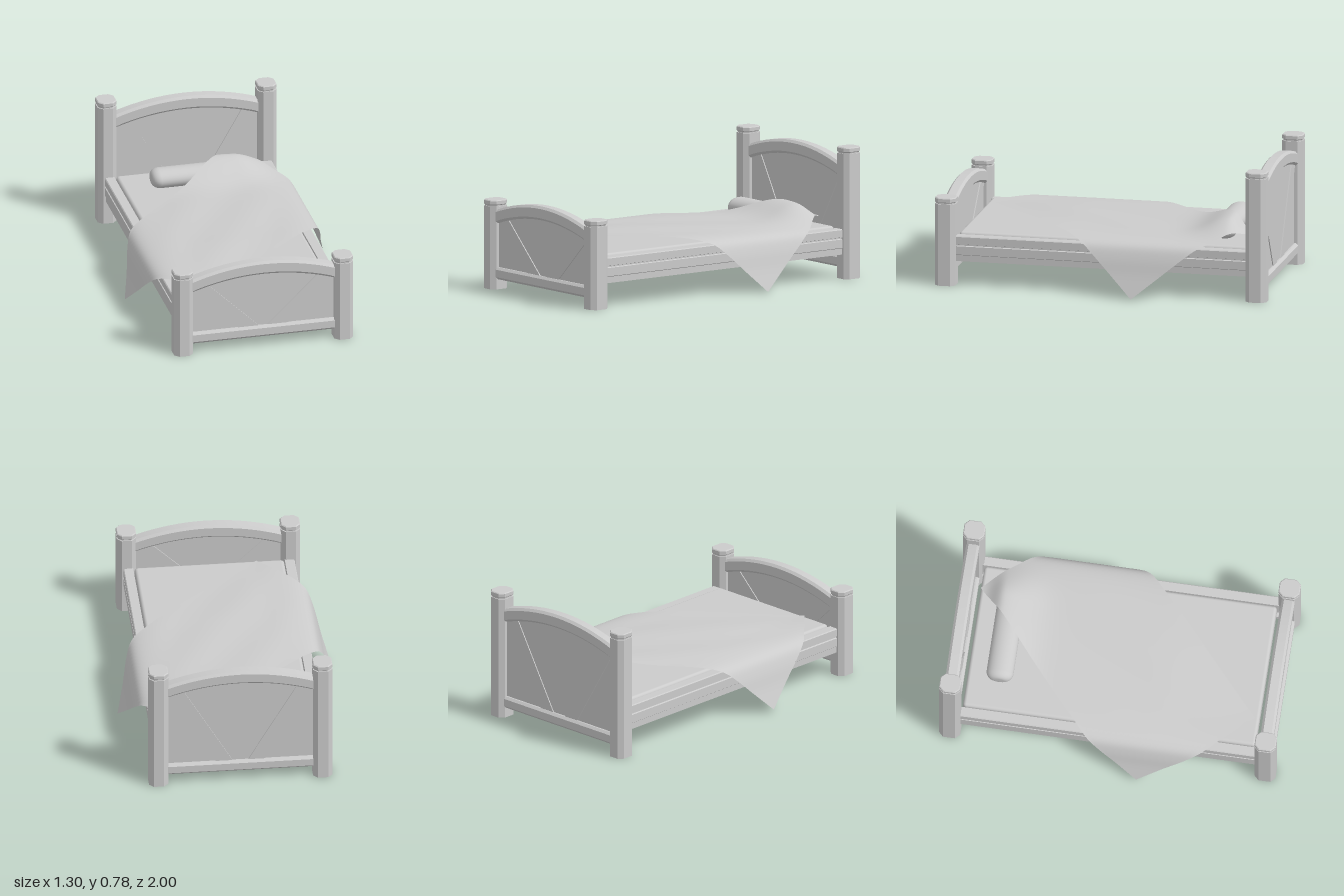
import * as THREE from 'three';
import { RoundedBoxGeometry } from 'three/addons/geometries/RoundedBoxGeometry.js';
import { toCreasedNormals } from 'three/addons/utils/BufferGeometryUtils.js';

const grey = new THREE.MeshStandardMaterial({ color: 0xcccccc });
const cloth = new THREE.MeshStandardMaterial({ color: 0xcccccc, side: THREE.DoubleSide });

function add(parent, name, geometry, x = 0, y = 0, z = 0, material = grey) {
  const mesh = new THREE.Mesh(geometry, material);
  mesh.name = name;
  mesh.position.set(x, y, z);
  parent.add(mesh);
  return mesh;
}

const box = (w, h, d) => new THREE.BoxGeometry(w, h, d);
const polygon = (pts) => new THREE.Shape(pts.map(([x, y]) => new THREE.Vector2(x, y)));

// Extrusion centred on z, with an optional flat bevel inside the outline
function slab(shape, depth, bevel = 0) {
  const g = new THREE.ExtrudeGeometry(shape, {
    depth: depth - 2 * bevel, bevelEnabled: bevel > 0, bevelSegments: 1,
    bevelSize: bevel, bevelThickness: bevel, bevelOffset: -bevel,
  });
  g.translate(0, 0, bevel - depth / 2);
  return toCreasedNormals(g, 0.4);
}

// Square with cut corners, used for the posts
function octagon(hx, hz, c) {
  return polygon([[hx, c - hz], [hx, hz - c], [hx - c, hz], [c - hx, hz],
    [-hx, hz - c], [-hx, c - hz], [c - hx, -hz], [hx - c, -hz]]);
}

function post(height) {
  const group = new THREE.Group();
  group.name = 'post';
  const piece = (name, hx, hz, y0, y1, bevel) => {
    const g = slab(octagon(hx, hz, 0.027), y1 - y0, bevel);
    g.rotateX(-Math.PI / 2);
    add(group, name, g, 0, (y0 + y1) / 2, 0);
  };
  piece('postShaft', 0.057, 0.0625, 0, height - 0.037, 0);
  piece('postNeck', 0.052, 0.0575, height - 0.04, height - 0.025, 0);
  piece('postCap', 0.057, 0.0625, height - 0.03, height, 0.005);
  return group;
}

// Arched outline: height of the curve at x for a given crown
const archY = (crown, x) => crown - 0.072 * (x / 0.43) ** 2;

function archPoints(crown, half, steps = 16) {
  return Array.from({ length: steps + 1 }, (_, i) => {
    const x = half * (1 - 2 * i / steps);
    return [x, archY(crown, x)];
  });
}

// Head or foot of the bed: posts, arched rail, panel, braces, bottom rail
function endBoard(name, z, postHeight, crown, brace) {
  const group = new THREE.Group();
  group.name = name;
  group.position.z = z;
  for (const side of [-1, 1]) {
    const p = post(postHeight);
    p.position.x = side * 0.485;
    group.add(p);
    const pts = brace.map(([x, y]) => [side * x, y]);
    add(group, 'diagonalBrace', slab(polygon(pts), 0.044));
  }
  const rail = polygon([...archPoints(crown, 0.45), ...archPoints(crown - 0.083, 0.45).reverse()]);
  add(group, 'archedRail', slab(rail, 0.078, 0.014));
  const panel = polygon([[-0.45, 0.1], [0.45, 0.1], ...archPoints(crown - 0.04, 0.45)]);
  add(group, 'panel', slab(panel, 0.032));
  const low = polygon([[-0.45, 0.06], [0.45, 0.06], [0.45, 0.132], [-0.45, 0.132]]);
  add(group, 'bottomRail', slab(low, 0.078, 0.014));
  return group;
}

// Cross-section of a side rail with a groove along its outer face
function sideRail(side) {
  const profile = polygon([[0.448, 0.145], [0.5, 0.145], [0.5, 0.182], [0.506, 0.186], [0.506, 0.236],
    [0.496, 0.239], [0.496, 0.246], [0.506, 0.249], [0.506, 0.292], [0.501, 0.297], [0.448, 0.297]]);
  const g = slab(profile, 1.78);
  if (side < 0) g.rotateY(Math.PI);
  return g;
}

// Blanket: a flat diagonal sheet bent down over the rails and up over the pillow
function blanketGeometry() {
  const A = [0.285, -0.87], B = [0.895, -0.213], D = [-0.885, 0.19], C = [-0.275, 0.84];
  const drape = [[0, 0, 0.352], [0.25, 0.25, 0.348], [0.44, 0.44, 0.335], [0.54, 0.535, 0.306],
    [0.63, 0.575, 0.238], [0.744, 0.605, 0.138], [0.9, 0.653, 0.002]];
  const bend = (d) => {
    let i = 0;
    while (i < drape.length - 2 && d > drape[i + 1][0]) i++;
    const t = (d - drape[i][0]) / (drape[i + 1][0] - drape[i][0]);
    return [1, 2].map((k) => {
      const at = (j) => drape[THREE.MathUtils.clamp(j, 0, drape.length - 1)];
      const slope = (j) => (at(j + 1)[k] - at(j - 1)[k]) / (at(j + 1)[0] - at(j - 1)[0]);
      const w = at(i + 1)[0] - at(i)[0];
      const m0 = i === 0 ? (k === 1 ? 1 : 0) : slope(i);
      return (2 * t ** 3 - 3 * t * t + 1) * at(i)[k] + (t ** 3 - 2 * t * t + t) * w * m0
        + (3 * t * t - 2 * t ** 3) * at(i + 1)[k] + (t ** 3 - t * t) * w * slope(i + 1);
    });
  };
  const g = new THREE.PlaneGeometry(1, 1, 48, 64);
  const pos = g.attributes.position;
  for (let i = 0; i < pos.count; i++) {
    const u = pos.getX(i) + 0.5, v = 0.5 - pos.getY(i);
    const [fx, z] = [0, 1].map((k) => (1 - v) * ((1 - u) * A[k] + u * B[k]) + v * ((1 - u) * D[k] + u * C[k]));
    let [x, y] = bend(Math.abs(fx));
    const onTop = 1 - THREE.MathUtils.smoothstep(Math.abs(fx), 0.24, 0.52);
    const dz = z + 0.72;
    y += onTop * 0.09 * Math.exp(-((dz / (dz < 0 ? 0.085 : 0.17)) ** 2));
    y -= onTop * 0.02 * THREE.MathUtils.smoothstep(z, 0.2, 0.84);
    y += onTop * 0.003 * Math.sin(14 * fx + 9 * z);
    pos.setXYZ(i, Math.sign(fx) * x, y, z);
  }
  g.computeVertexNormals();
  return g;
}

// Bolster pillow: rounded roll lying along x
function pillowGeometry() {
  const r = 0.08, round = 0.05, half = 0.275, pts = [new THREE.Vector2(0, -half)];
  for (const end of [-1, 1]) {
    for (let i = 0; i <= 6; i++) {
      const a = (end < 0 ? i / 6 : 1 - i / 6) * Math.PI / 2;
      pts.push(new THREE.Vector2(r - round + round * Math.sin(a), end * (half - round + round * Math.cos(a))));
    }
  }
  pts.push(new THREE.Vector2(0, half));
  const g = new THREE.LatheGeometry(pts, 28);
  g.rotateZ(Math.PI / 2);
  g.scale(1, 0.72, 1);
  return g;
}

export function createModel() {
  const bed = new THREE.Group();
  bed.name = 'bed';

  bed.add(endBoard('headboard', -0.9375, 0.783, 0.757,
    [[0.04, 0.12], [0.14, 0.12], [0.44, 0.63], [0.44, 0.645], [0.35, 0.66]]));
  bed.add(endBoard('footboard', 0.9375, 0.53, 0.548,
    [[0.015, 0.12], [0.14, 0.12], [0.44, 0.41], [0.44, 0.425], [0.34, 0.435]]));

  // Side rails with inner ledgers carrying the slats
  for (const side of [-1, 1]) {
    add(bed, 'sideRail', sideRail(side));
    add(bed, 'slatLedger', box(0.03, 0.03, 1.76), side * 0.435, 0.165, 0);
  }
  const slats = 14;
  for (let i = 0; i < slats; i++) {
    add(bed, 'slat', box(0.89, 0.022, 0.08), 0, 0.191, -0.81 + 1.62 * i / (slats - 1));
  }

  // Bedding
  add(bed, 'mattress', new RoundedBoxGeometry(0.885, 0.106, 1.74, 3, 0.02), 0, 0.256, 0);
  add(bed, 'pillow', pillowGeometry(), 0, 0.358, -0.68);
  add(bed, 'blanket', blanketGeometry(), 0, 0, 0, cloth);
  return bed;
}
